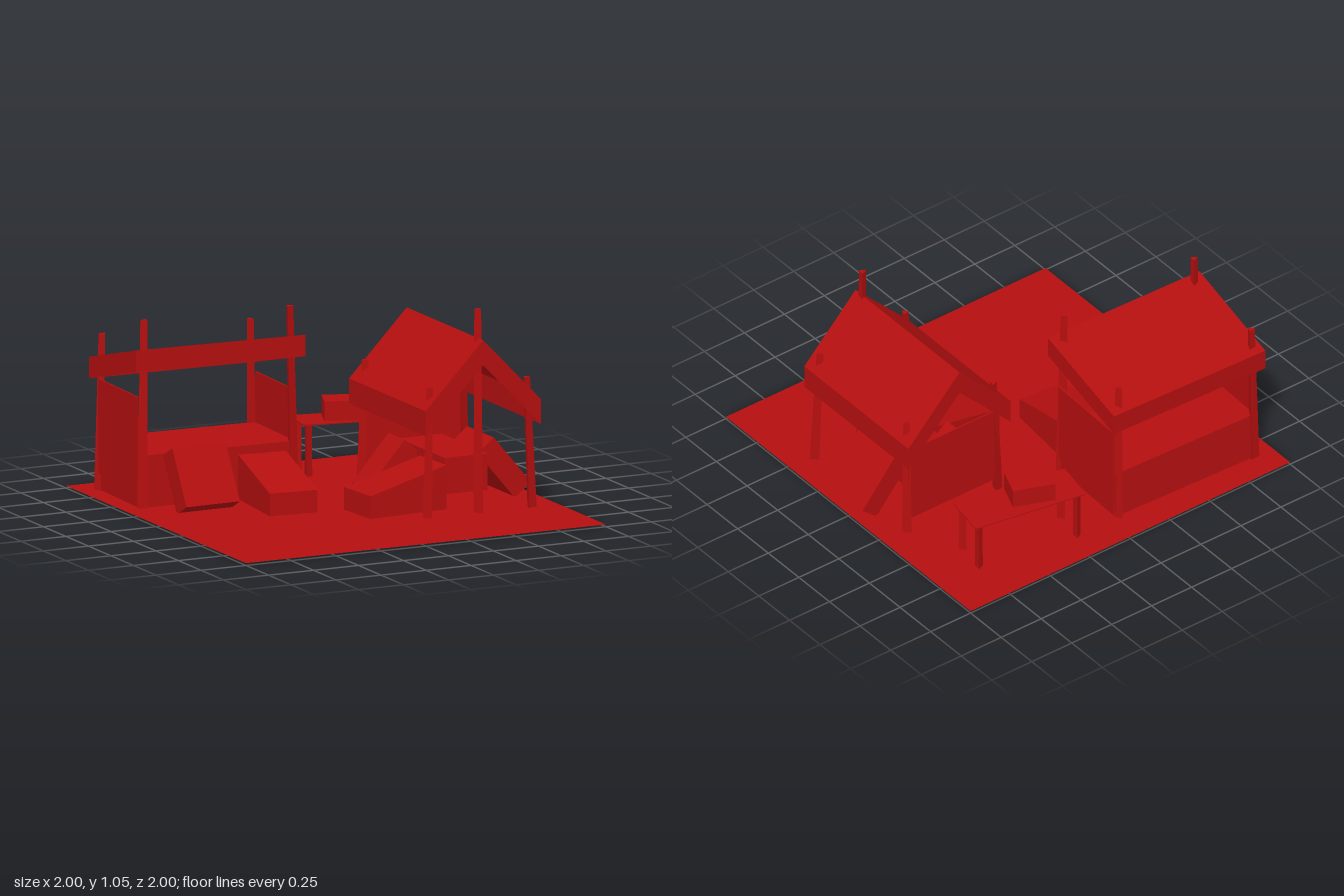
import * as THREE from 'three';

const red = new THREE.MeshStandardMaterial({ color: 0xb40f0f, flatShading: true, side: THREE.DoubleSide });
red.name = 'red';

const GROUND = 0.015;

function add(parent, name, geometry, x = 0, y = 0, z = 0, ry = 0, rx = 0) {
  const mesh = new THREE.Mesh(geometry, red);
  mesh.name = name;
  mesh.position.set(x, y, z);
  mesh.rotation.set(rx, ry, 0, 'YXZ');
  parent.add(mesh);
  return mesh;
}

function group(parent, name) {
  const g = new THREE.Group();
  g.name = name;
  parent.add(g);
  return g;
}

const box = (w, h, d) => new THREE.BoxGeometry(w, h, d);

// Flat faces from lists of four corners
function quads(list) {
  const positions = [];
  for (const [a, b, c, d] of list) positions.push(...a, ...b, ...c, ...a, ...c, ...d);
  const g = new THREE.BufferGeometry();
  g.setAttribute('position', new THREE.Float32BufferAttribute(positions, 3));
  g.computeVertexNormals();
  return g;
}

// Vertical band hanging from each edge of an outline
function skirt(outline, drop) {
  const down = ([x, y, z]) => [x, y - drop, z];
  return outline.map((a, i) => {
    const b = outline[(i + 1) % outline.length];
    return [a, b, down(b), down(a)];
  });
}

// Three-sided tapering post between a foot and a top point
function post(parent, name, foot, top, turn = 0, r0 = 0.03, r1 = 0.021) {
  const a = new THREE.Vector3(...foot), b = new THREE.Vector3(...top);
  const dir = b.clone().sub(a);
  const geo = new THREE.CylinderGeometry(r1, r0, dir.length(), 3);
  geo.rotateY(turn);
  const mesh = add(parent, name, geo);
  mesh.position.copy(a).add(b).multiplyScalar(0.5);
  mesh.quaternion.setFromUnitVectors(new THREE.Vector3(0, 1, 0), dir.normalize());
}

// Display block with a sloping top, rising along its own x
function slopedBlock(parent, x, z, length, width, turn) {
  const s = new THREE.Shape();
  s.moveTo(0, 0);
  s.lineTo(length, 0);
  s.lineTo(length, 0.225);
  s.lineTo(0, 0.115);
  const geo = new THREE.ExtrudeGeometry(s, { depth: width, bevelEnabled: false });
  add(parent, 'slopedDisplay', geo, x, GROUND, z, turn);
}

function buildStall(root) {
  const stall = group(root, 'marketStall');

  // Sloping roof with a hanging edge, open below
  const roof = [[-0.945, 0.83, -0.33], [-0.02, 0.825, -0.30], [0, 0.685, -0.865], [-0.925, 0.685, -0.895]];
  add(stall, 'stallRoof', quads([roof, ...skirt(roof, 0.11)]));

  // Posts
  const posts = [
    [-0.885, -0.375, -0.877, -0.375, 0.97], [-0.065, -0.35, -0.085, -0.35, 0.97],
    [-0.885, -0.85, -0.875, -0.84, 0.81], [-0.06, -0.83, -0.07, -0.82, 0.81],
  ];
  posts.forEach(([x0, z0, x1, z1, h], i) => post(stall, 'stallPost', [x0, 0.01, z0], [x1, h, z1], i * 0.9 + 0.4));

  // Counter and side walls
  const body = group(stall, 'stallBody');
  body.position.set(-0.472, 0, -0.6);
  body.rotation.y = -0.034;
  add(body, 'counter', box(0.85, 0.265, 0.48), 0, GROUND + 0.1325, 0);
  add(body, 'sideWall', box(0.008, 0.435, 0.47), 0.43, 0.32, 0);
  add(body, 'sideWall', box(0.008, 0.48, 0.47), -0.43, 0.34, 0);

  // Goods in front of the counter
  add(stall, 'leaningCrate', box(0.3, 0.31, 0.115), -0.63, 0.167, -0.235, 0.02, -0.507);
  slopedBlock(stall, -0.41, 0.085, 0.43, 0.255, Math.PI / 2 - 0.09);
}

function buildTent(root) {
  const tent = group(root, 'gabledStall');
  const [x0, xm, x1, zb, zf] = [0.24, 0.56, 0.88, -0.335, 0.515];
  const [eave, ridge] = [0.57, 0.9];

  // Gabled roof with a hanging edge, open below
  const lf = [x0, eave, zf], mf = [xm, ridge, zf], rf = [x1, eave, zf];
  const lb = [x0, eave, zb], mb = [xm, ridge, zb], rb = [x1, eave, zb];
  add(tent, 'gabledRoof', quads([
    [lf, mf, mb, lb], [mf, rf, rb, mb],
    ...skirt([lf, mf, rf, rb, mb, lb], 0.127),
  ]));

  // Corner posts and the tall ridge pole
  const posts = [
    [0.28, 0.468, 0.297, 0.455, 0.675], [0.85, 0.468, 0.832, 0.447, 0.675],
    [0.285, -0.285, 0.3, -0.27, 0.675], [0.85, -0.285, 0.835, -0.262, 0.675],
    [0.56, 0.465, 0.56, 0.458, 1.05],
  ];
  posts.forEach(([a, b, c, d, h], i) => post(tent, 'tentPost', [a, 0.01, b], [c, h, d], i * 1.1 + 0.2, 0.028, 0.02));

  // Back wall
  add(tent, 'backWall', box(0.57, 0.425, 0.008), 0.56, 0.298, -0.285);

  // Goods under the roof
  add(tent, 'middleCrate', box(0.24, 0.185, 0.51), 0.57, 0.178, 0.05);
  add(tent, 'leaningCrate', box(0.295, 0.32, 0.115), 0.832, 0.164, 0.058, Math.PI / 2, -0.697);
  add(tent, 'leaningCrate', box(0.18, 0.31, 0.11), 0.32, 0.158, -0.088, -Math.PI / 2, -0.72);
  slopedBlock(tent, -0.01, 0.11, 0.44, 0.255, 0.08);
}

function buildTable(root) {
  const table = group(root, 'table');
  table.position.set(0.46, 0, -0.699);
  table.rotation.y = -0.172;
  add(table, 'tableTop', box(0.62, 0.006, 0.232), 0, 0.282, 0);
  for (const sx of [-1, 1]) for (const sz of [-1, 1]) {
    post(table, 'tableLeg', [sx * 0.275, 0.01, sz * 0.085], [sx * 0.275, 0.28, sz * 0.085], sx + sz * 0.4, 0.023, 0.021);
  }
  add(table, 'smallCrate', box(0.22, 0.1, 0.16), -0.06, 0.335, 0.01, -0.2);
}

export function createModel() {
  const root = new THREE.Group();
  root.name = 'marketStalls';
  const plane = new THREE.PlaneGeometry(2, 2).rotateX(-Math.PI / 2);
  add(root, 'ground', plane, 0, GROUND, 0);
  buildStall(root);
  buildTent(root);
  buildTable(root);
  return root;
}
